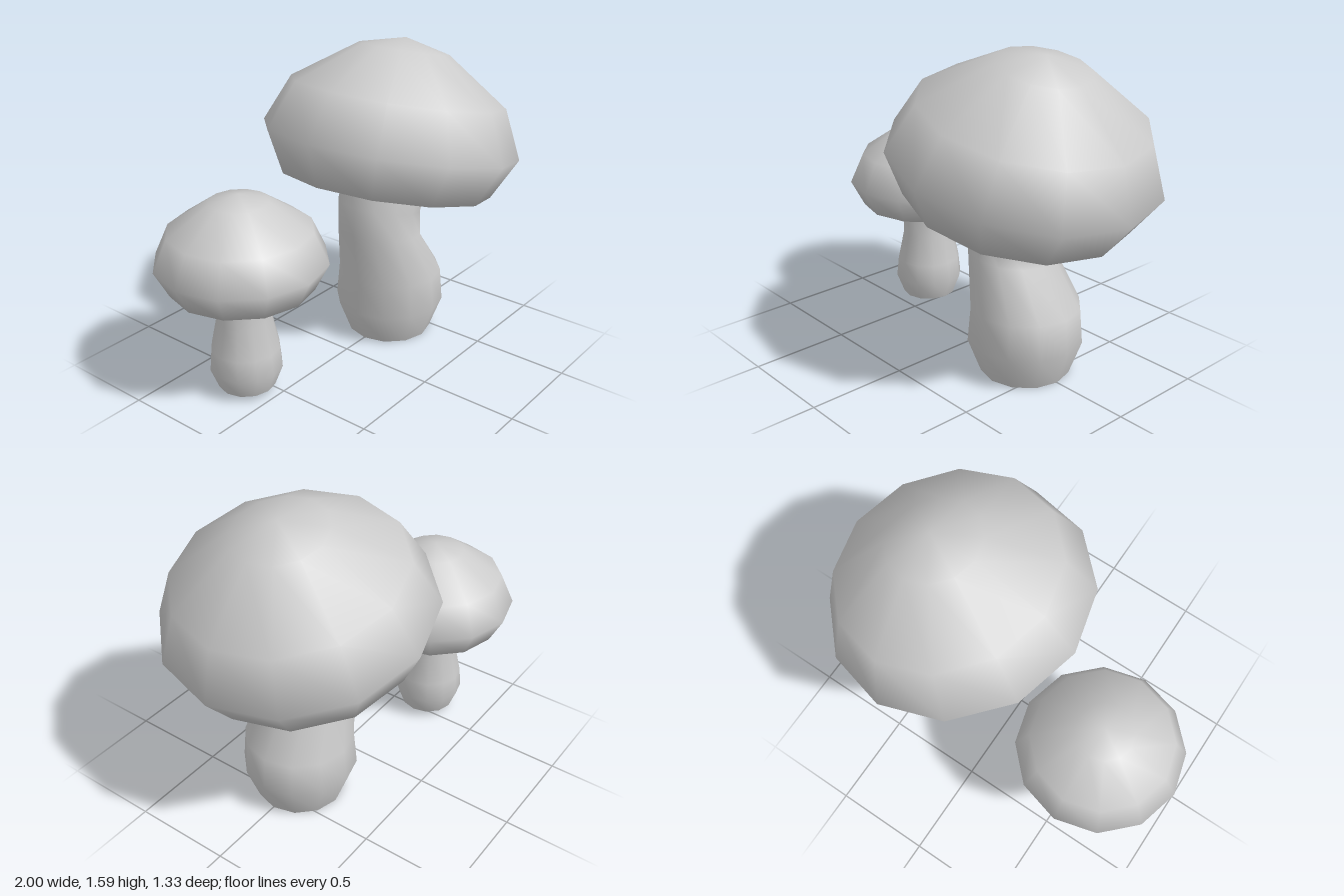
import * as THREE from 'three';
import { mergeVertices } from 'three/addons/utils/BufferGeometryUtils.js';

const SIDES = 12;
const material = new THREE.MeshStandardMaterial({ color: 0xcccccc, side: THREE.DoubleSide });

// Turned profile with the seam welded, so that it shades smoothly all round
function turned(profile, move) {
  const geo = new THREE.LatheGeometry(profile.map(([r, y]) => new THREE.Vector2(r, y)), SIDES);
  geo.deleteAttribute('uv');
  geo.deleteAttribute('normal');
  if (move) {
    const p = geo.attributes.position;
    for (let i = 0; i < p.count; i++) p.setXYZ(i, ...move(p.getX(i), p.getY(i), p.getZ(i)));
  }
  const welded = mergeVertices(geo, 1e-4);
  welded.computeVertexNormals();
  return welded;
}

// Cap: hollow underside from the middle out to the rim, then over the crown
function cap(name) {
  const mesh = new THREE.Mesh(turned([
    [0, 0.18], [0.14, 0.155], [0.27, 0.08], [0.35, 0],
    [0.42, 0.135], [0.35, 0.29], [0.145, 0.43], [0, 0.465],
  ]), material);
  mesh.name = name;
  return mesh;
}

// Stem: open tube through rings of [centre x, centre y, radius, slope]
function stem(name, rings) {
  const geo = turned(rings.map((ring, i) => [ring[2], i]), (x, y, z) => {
    const [cx, cy, , slope] = rings[Math.round(y)];
    return [cx + x, cy + x * slope, z];
  });
  const mesh = new THREE.Mesh(geo, material);
  mesh.name = name;
  return mesh;
}

export function createModel() {
  const model = new THREE.Group();
  model.name = 'mushrooms';

  // Large leaning mushroom
  const large = new THREE.Group();
  large.name = 'largeMushroom';
  const largeCap = cap('largeCap');
  largeCap.scale.setScalar(1.58);
  largeCap.position.set(0.305, 0.873, 0);
  largeCap.rotation.z = -0.234;
  large.add(largeCap, stem('largeStem', [
    [0.375, 0, 0.223, 0],
    [0.372, 0.175, 0.288, 0],
    [0.372, 0.348, 0.273, 0],
    [0.27, 0.605, 0.216, -0.16],
    [0.268, 0.745, 0.213, -0.25],
    [0.315, 0.89, 0.213, -0.24],
    [0.35, 1.06, 0.2, -0.24],
  ]));

  // Small upright mushroom
  const small = new THREE.Group();
  small.name = 'smallMushroom';
  const smallCap = cap('smallCap');
  smallCap.position.y = 0.575;
  small.add(smallCap, stem('smallStem', [
    [0, 0.03, 0.142, 0],
    [0, 0.135, 0.182, 0],
    [0, 0.24, 0.171, 0],
    [0, 0.4, 0.137, 0],
    [0, 0.57, 0.137, 0],
    [0, 0.73, 0.137, 0],
  ]));
  small.position.set(-0.58, 0, -0.17);

  model.add(large, small);
  return model;
}
